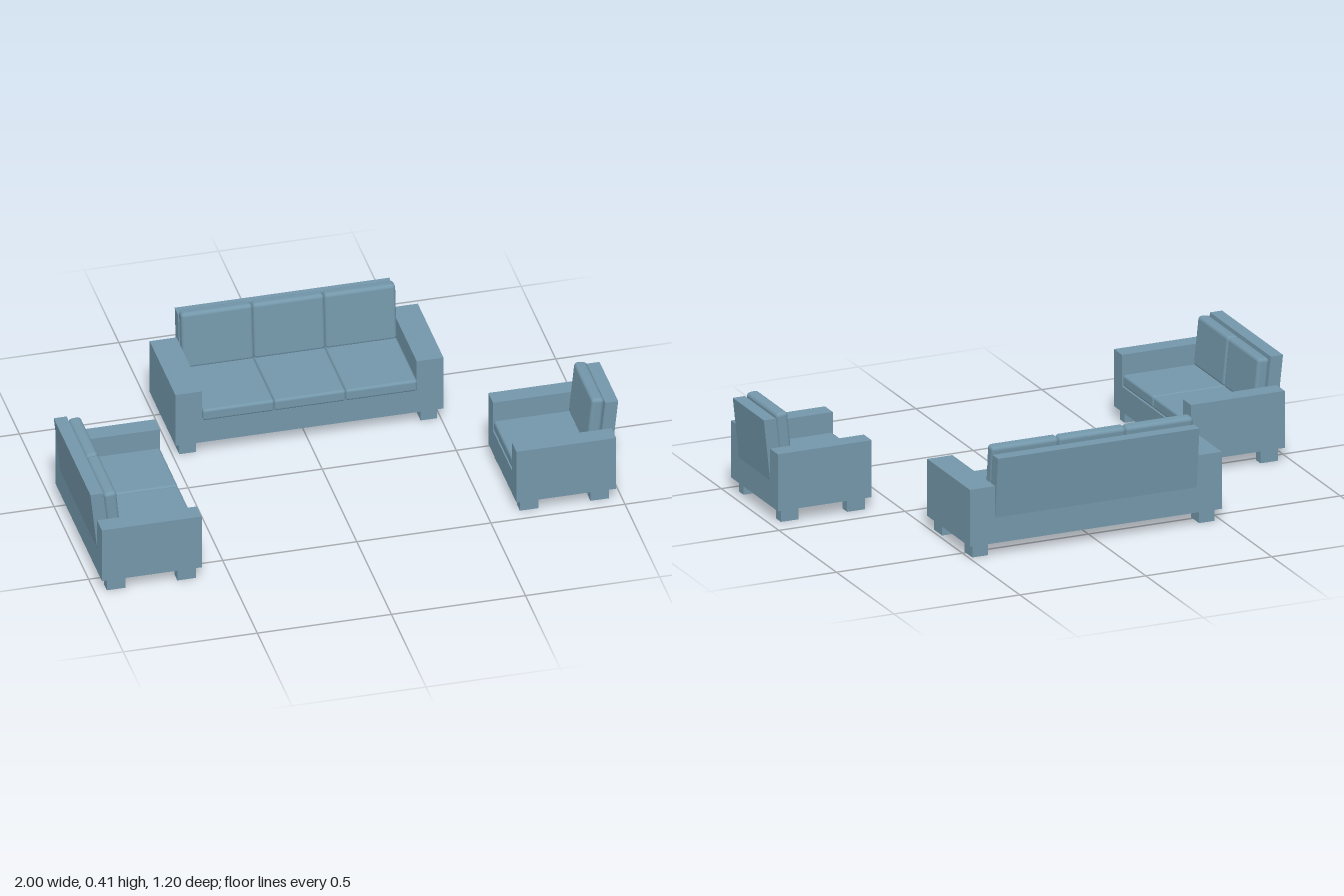
import * as THREE from 'three';
import { RoundedBoxGeometry } from 'three/addons/geometries/RoundedBoxGeometry.js';

const fabric = new THREE.MeshStandardMaterial({ color: 0x7397aa });

function add(group, name, geometry, x, y, z) {
  const mesh = new THREE.Mesh(geometry, fabric);
  mesh.name = name;
  mesh.position.set(x, y, z);
  group.add(mesh);
  return mesh;
}

// One seat unit facing +z, with its outer width, arm width and cushion count
function createSeat({ name, width, arm, cushions, cushionTop, seatFront, legWidth, legInset }) {
  const group = new THREE.Group();
  group.name = name;
  const depth = 0.372, floor = 0.05, armTop = 0.268, deck = 0.147;
  const inner = width - 2 * arm;

  // Base between the arms
  add(group, 'base', new THREE.BoxGeometry(inner, deck - floor, depth), 0, (deck + floor) / 2, 0);

  // Arms and legs, mirrored
  for (const side of [-1, 1]) {
    add(group, 'arm', new THREE.BoxGeometry(arm, armTop - floor, depth),
      side * (width - arm) / 2, (armTop + floor) / 2, 0);
    for (const z of [-0.13, 0.133]) {
      add(group, 'leg', new THREE.BoxGeometry(legWidth, floor, 0.07),
        side * (width / 2 - legInset - legWidth / 2), floor / 2, z);
    }
  }

  // Backrest: a box sheared backwards towards its top
  const backHeight = 0.38 - deck;
  const back = new THREE.BoxGeometry(inner, backHeight, 0.048);
  const p = back.attributes.position;
  for (let i = 0; i < p.count; i++) {
    if (p.getY(i) > 0) p.setZ(i, p.getZ(i) - 0.025);
  }
  back.computeVertexNormals();
  add(group, 'backrest', back, 0, deck + backHeight / 2, -depth / 2 + 0.024);

  // Seat and back cushions
  const w = inner / cushions;
  const seatBack = -0.14;
  const backCushionHeight = cushionTop - 0.185;
  for (let i = 0; i < cushions; i++) {
    const x = (i - (cushions - 1) / 2) * w;
    add(group, 'seatCushion', new RoundedBoxGeometry(w, 0.046, seatFront - seatBack, 3, 0.01),
      x, 0.17, (seatFront + seatBack) / 2);
    const cushion = add(group, 'backCushion',
      new RoundedBoxGeometry(w, backCushionHeight, 0.047, 3, 0.014),
      x, 0.185 + backCushionHeight / 2, -0.127);
    cushion.rotation.x = -0.1;
  }
  return group;
}

export function createModel() {
  const model = new THREE.Group();
  model.name = 'loungeSet';

  const sofa = createSeat({ name: 'sofa', width: 1.0, arm: 0.1, cushions: 3,
    cushionTop: 0.408, seatFront: 0.198, legWidth: 0.062, legInset: 0.019 });
  sofa.position.set(0.006, 0, -0.393);

  const loveseat = createSeat({ name: 'loveseat', width: 0.67, arm: 0.07, cushions: 2,
    cushionTop: 0.376, seatFront: 0.184, legWidth: 0.041, legInset: 0.012 });
  loveseat.position.set(-0.79, 0, 0.265);
  loveseat.rotation.y = Math.PI / 2;

  const armchair = createSeat({ name: 'armchair', width: 0.406, arm: 0.068, cushions: 1,
    cushionTop: 0.398, seatFront: 0.184, legWidth: 0.041, legInset: 0.02 });
  armchair.position.set(0.79, 0, 0.264);
  armchair.rotation.y = -Math.PI / 2;

  model.add(sofa, loveseat, armchair);
  return model;
}
